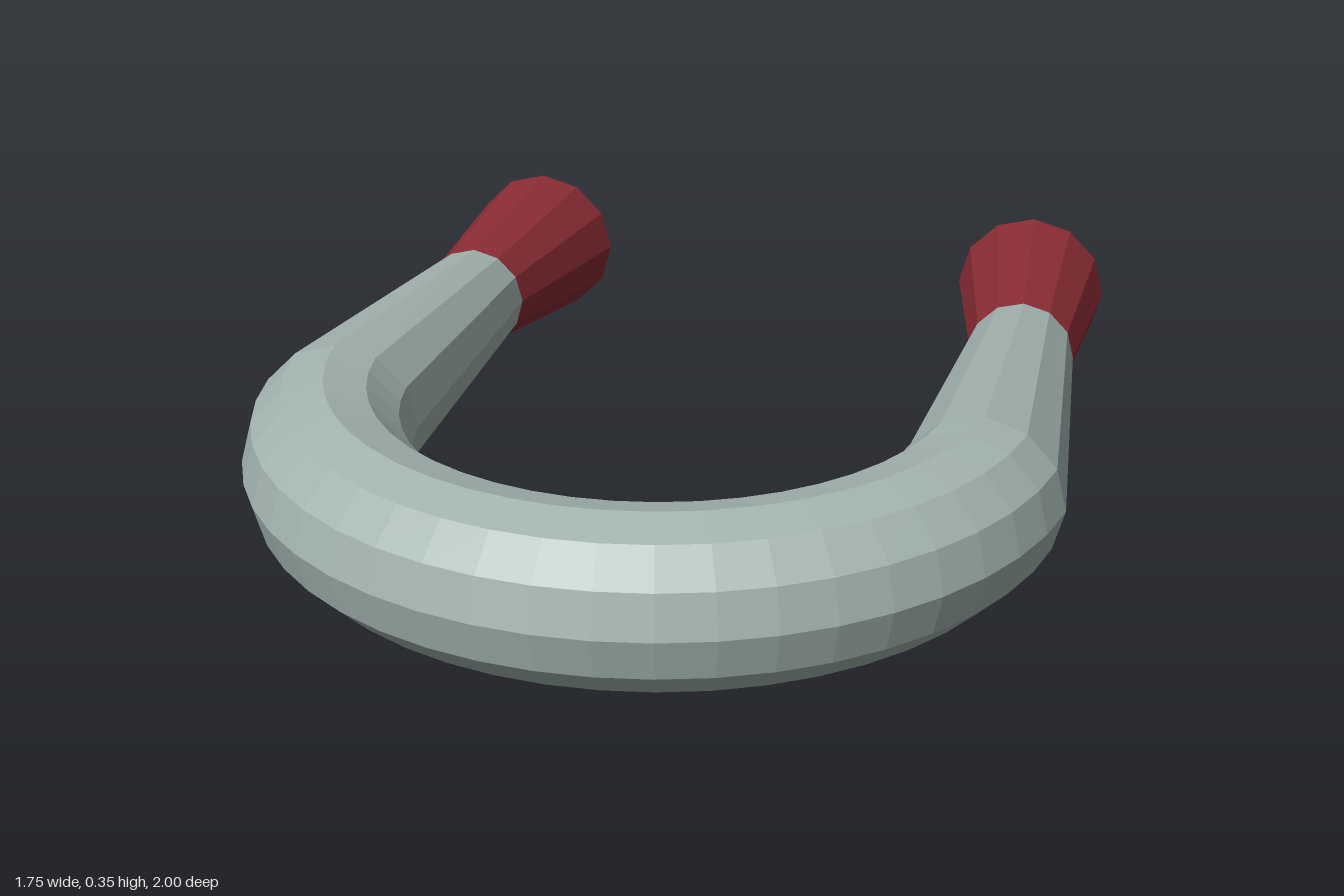
import * as THREE from 'three';

const SIDES = 12, R = 0.177, BEND = 0.705, BEND_Z = 0.118;

// One ring of the tube: centre, outward direction (angle in the ground plane) and radius
const ring = (x, z, angle, r) => Array.from({ length: SIDES }, (_, j) => {
  const t = (j / SIDES) * Math.PI * 2, out = r * Math.cos(t);
  return [x + out * Math.cos(angle), R + r * Math.sin(t), z + out * Math.sin(angle)];
});

// Skin a list of rings with flat quads
function loft(rings) {
  const index = [];
  for (let i = 0; i < rings.length - 1; i++) {
    for (let j = 0; j < SIDES; j++) {
      const k = (j + 1) % SIDES;
      const a = i * SIDES + j, b = i * SIDES + k;
      index.push(a, b, a + SIDES, b, b + SIDES, a + SIDES);
    }
  }
  const geo = new THREE.BufferGeometry();
  geo.setAttribute('position', new THREE.Float32BufferAttribute(rings.flat(2), 3));
  geo.setIndex(index);
  const flat = geo.toNonIndexed();
  flat.computeVertexNormals();
  return flat;
}

export function createModel() {
  const material = (name, color) => Object.assign(new THREE.MeshStandardMaterial({ color, flatShading: true }), { name });
  const steel = material('greySteel', 0xa3b4b0);
  const red = material('darkRed', 0x8a2c34);
  const pole = material('purpleGrey', 0x75687c);

  const group = new THREE.Group();
  const add = (name, geo, mat) => {
    const mesh = new THREE.Mesh(geo, mat);
    mesh.name = name;
    group.add(mesh);
    return mesh;
  };

  // Leg rings: the narrow neck and the flared end
  const neck = (s) => ring(s * 0.668, -0.575, s > 0 ? 0 : Math.PI, 0.12);
  const end = (s) => ring(s * 0.63, -1, s > 0 ? 0 : Math.PI, R);

  // Horseshoe body: left neck, round bend, right neck
  const bend = [];
  for (let i = 1; i <= 23; i++) {
    const a = (i / 24) * Math.PI;
    bend.push(ring(BEND * Math.cos(a), BEND_Z + BEND * Math.sin(a), a, R));
  }
  add('horseshoeBody', loft([neck(1), ...bend, neck(-1)]), steel);

  // Flared tips and their flat pole faces
  for (const [side, s] of [['left', 1], ['right', -1]]) {
    add(side + 'Tip', loft(s > 0 ? [end(s), neck(s)] : [neck(s), end(s)]), red);
    const face = add(side + 'PoleFace', new THREE.CircleGeometry(R, SIDES), pole);
    face.rotation.y = Math.PI;
    face.position.set(s * 0.63, R, -1);
  }
  return group;
}
